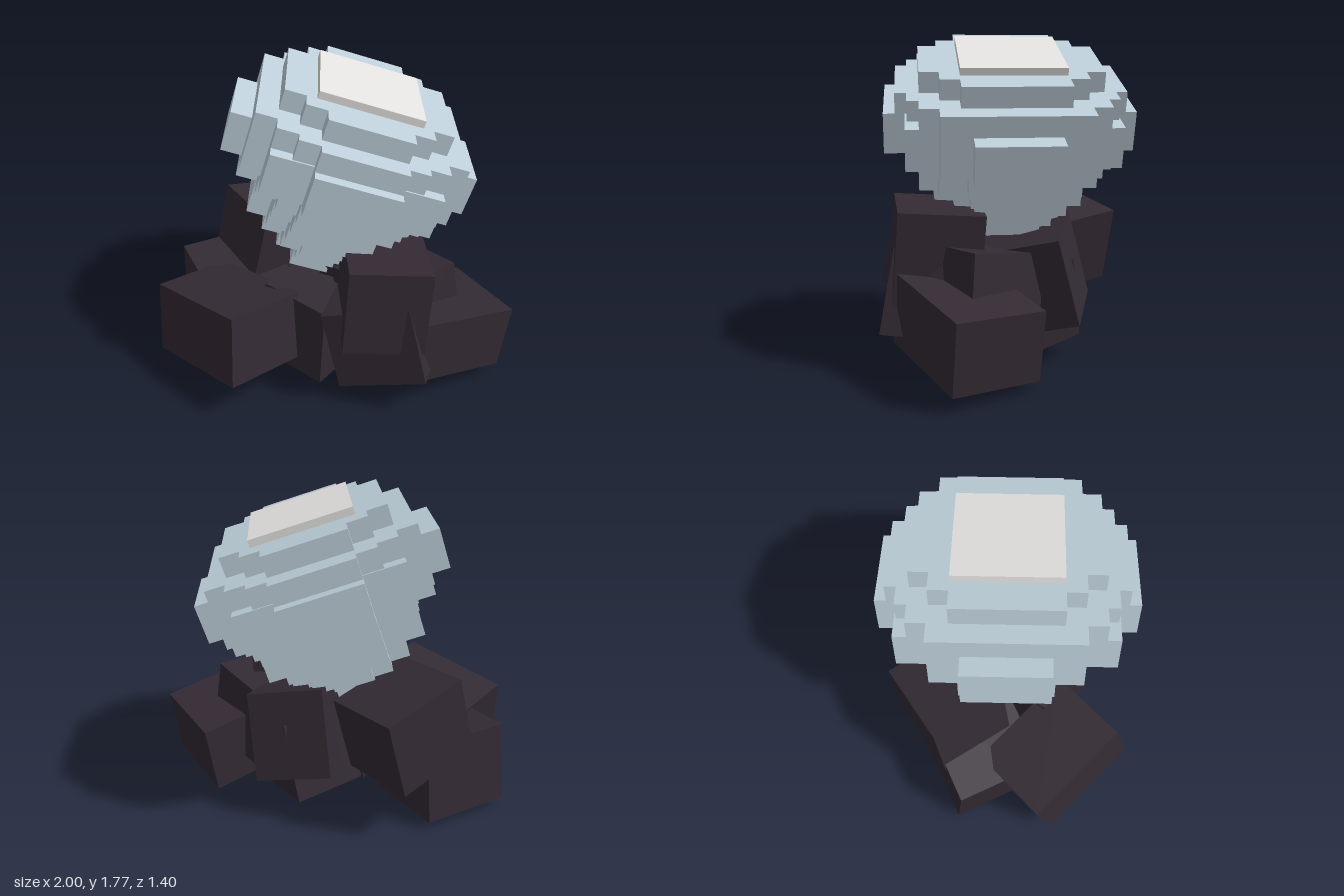
import * as THREE from 'three';

const mat = (name, color) => Object.assign(new THREE.MeshStandardMaterial({ color }), { name });

export function createModel() {
  const model = new THREE.Group();
  model.name = 'bulbOnRocks';
  const blue = mat('pale blue grey', 0xbed0da);
  const grey = mat('light grey', 0xe5e4e3);
  const dark = mat('dark plum rock', 0x332a33);

  const add = (parent, name, geometry, material) => {
    const mesh = new THREE.Mesh(geometry, material);
    mesh.name = name;
    parent.add(mesh);
    return mesh;
  };

  // Tilted bulb: a stack of slabs with stepped outlines
  const bulb = new THREE.Group();
  bulb.name = 'bulb';
  bulb.position.set(-0.3, 0.095, -0.018);
  bulb.rotation.z = -0.3046;
  model.add(bulb);

  // Stepped outline from quarter steps [half width, half depth], widest first
  const steppedShape = (steps) => {
    const quarter = [];
    steps.forEach(([w, d], i) => {
      quarter.push([w, i ? steps[i - 1][1] : 0], [w, d]);
    });
    quarter.shift();
    const back = [...quarter].reverse();
    const points = [
      ...quarter,
      ...back.map(([w, d]) => [-w, d]),
      ...quarter.map(([w, d]) => [-w, -d]),
      ...back.map(([w, d]) => [w, -d]),
    ];
    return new THREE.Shape(points.map(([x, y]) => new THREE.Vector2(x, y)));
  };

  // Each layer: bottom, top, steps
  const layers = [
    [0.52, 0.63, [[0.11, 0.1]]],
    [0.63, 0.74, [[0.22, 0.11], [0.11, 0.2]]],
    [0.74, 0.85, [[0.33, 0.16], [0.22, 0.28], [0.11, 0.32]]],
    [0.85, 0.96, [[0.44, 0.2], [0.33, 0.3], [0.22, 0.4]]],
    [0.96, 1.07, [[0.44, 0.22], [0.33, 0.38], [0.22, 0.48]]],
    [1.07, 1.18, [[0.55, 0.24], [0.44, 0.38], [0.33, 0.48], [0.22, 0.55]]],
    [1.18, 1.40, [[0.66, 0.22], [0.55, 0.38], [0.44, 0.55], [0.22, 0.66]]],
    [1.40, 1.51, [[0.55, 0.38], [0.44, 0.48], [0.33, 0.54], [0.22, 0.6]]],
    [1.51, 1.62, [[0.44, 0.275], [0.33, 0.376], [0.22, 0.477]]],
  ];
  layers.forEach(([bottom, top, steps], i) => {
    const g = new THREE.ExtrudeGeometry(steppedShape(steps), { depth: top - bottom, bevelEnabled: false });
    g.rotateX(-Math.PI / 2).translate(0, bottom, 0);
    add(bulb, 'bulbLayer' + (i + 1), g, blue);
  });

  // Grey plate on the crown
  add(bulb, 'crownPlate', new THREE.BoxGeometry(0.55, 0.04, 0.545), grey).position.y = 1.64;

  // Rock block from one corner and its three edges
  const rocks = new THREE.Group();
  rocks.name = 'rocks';
  model.add(rocks);
  const cornerBlock = (name, corner, ...edges) => {
    let [a, b, c] = edges.map((e) => new THREE.Vector3(...e));
    if (a.clone().cross(b).dot(c) < 0) [a, b] = [b, a];
    const centre = new THREE.Vector3(...corner).addScaledVector(a, 0.5).addScaledVector(b, 0.5).addScaledVector(c, 0.5);
    const g = new THREE.BoxGeometry(1, 1, 1);
    g.applyMatrix4(new THREE.Matrix4().makeBasis(a, b, c).setPosition(centre));
    add(rocks, name, g, dark);
  };
  cornerBlock('rightFrontRock', [-0.53, 0.64, 0.61], [-0.455, -0.1, -0.45], [0.34, -0.07, -0.33], [-0.01, -0.39, 0.09]);
  cornerBlock('leftRock', [1, 0.46, 0.31], [-0.52, 0.11, 0.28], [-0.25, -0.03, -0.45], [-0.055, -0.38, 0.02]);
  cornerBlock('leaningFrontRock', [0.39, 0.68, 0.6], [-0.46, -0.14, -0.14], [0.14, -0.01, -0.47], [0.1, -0.43, 0.08]);
  cornerBlock('rightBackUpperRock', [-0.22, 0.74, -0.7], [-0.41, 0.12, 0.29], [0.255, -0.025, 0.37], [-0.1, -0.43, 0.04]);
  cornerBlock('rightBackLowerRock', [-0.7, 0, 0.15], [-0.23, 0.05, -0.46], [0.45, 0, -0.22], [0.02, 0.46, 0.04]);
  cornerBlock('leftUpperRock', [0.67, 0.705, 0.2], [-0.4, -0.01, 0.29], [-0.28, -0.07, -0.38], [0.06, -0.44, 0.03]);
  cornerBlock('middleBackRock', [0.1, 0.8, -0.365], [0.4, -0.08, 0.125], [-0.165, -0.11, 0.46], [-0.04, -0.47, -0.125]);
  cornerBlock('lowBackRock', [0.48, 0.03, 0.1], [-0.25, 0.1, -0.51], [-0.36, 0.04, 0.185], [0.074, 0.45, 0.052]);
  cornerBlock('middleFrontRock', [-0.05, 0.53, 0.44], [-0.33, 0.04, -0.24], [0.26, -0.03, -0.36], [-0.03, -0.45, 0.04]);

  // Tall rock standing in front of the bulb
  const tall = add(rocks, 'tallFrontRock', new THREE.BoxGeometry(0.44, 0.49, 0.45), dark);
  tall.position.set(0.265, 0.64, 0.38);
  tall.rotation.set(-0.07, 0.06, -0.07);
  return model;
}
